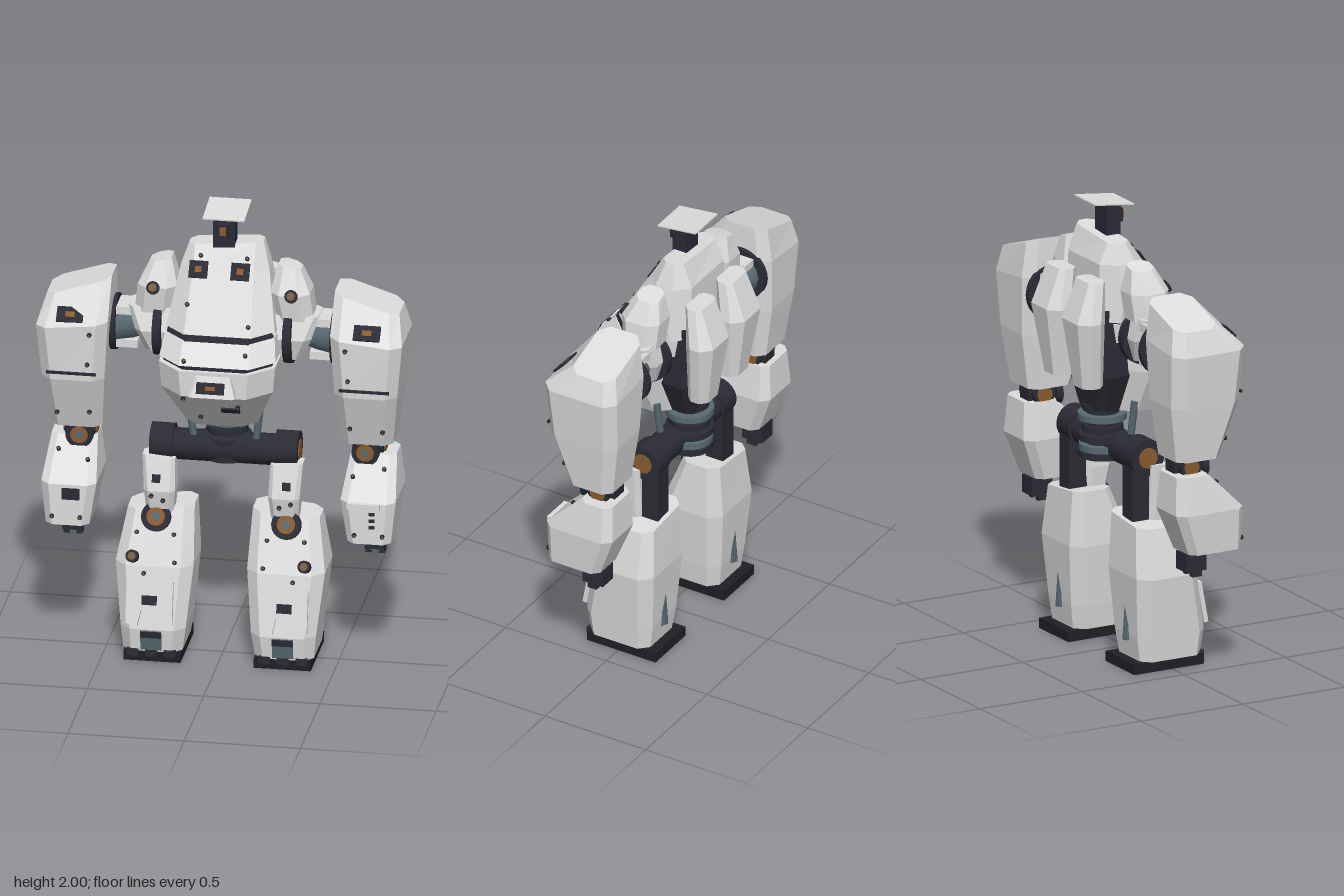
import * as THREE from 'three';

const mat = (name, color) => {
  const m = new THREE.MeshStandardMaterial({ color });
  m.name = name;
  return m;
};

export function createModel() {
  const white = mat('armour white', 0xdedede), dark = mat('joint navy', 0x2a2b35), black = mat('sole black', 0x1f1f25);
  const steel = mat('blue steel', 0x586a72), amber = mat('amber', 0x8a5c30);
  const root = new THREE.Group();
  root.name = 'robot';

  const add = (name, geo, m, x = 0, y = 0, z = 0, parent = root) => {
    const mesh = new THREE.Mesh(geo, m);
    mesh.name = name;
    mesh.position.set(x, y, z);
    parent.add(mesh);
    return mesh;
  };
  const box = (name, m, w, h, d, x, y, z, parent) => add(name, new THREE.BoxGeometry(w, h, d), m, x, y, z, parent);
  const drum = (name, m, axis, r0, r1, len, x, y, z, parent, n = 20) => {
    const g = new THREE.CylinderGeometry(r1, r0, len, n);
    if (axis === 'x') g.rotateZ(-Math.PI / 2);
    if (axis === 'z') g.rotateX(Math.PI / 2);
    return add(name, g, m, x, y, z, parent);
  };
  // Rod between two points
  const rod = (name, m, r, a, b) => {
    const p = new THREE.Vector3(...a), q = new THREE.Vector3(...b), d = q.clone().sub(p);
    const mesh = drum(name, m, 'y', r, r, d.length(), 0, 0, 0, root, 10);
    mesh.position.copy(p).add(q).multiplyScalar(0.5);
    mesh.quaternion.setFromUnitVectors(new THREE.Vector3(0, 1, 0), d.normalize());
    return mesh;
  };

  // Armour shell: chamfered rectangles from top to bottom, each [y, x0, x1, z0, z1, chamfer, slope]
  const mirror = (secs, s) => secs.map(([y, a, b, z0, z1, c, k = 0]) => (s > 0 ? [y, a, b, z0, z1, c, k] : [y, -b, -a, z0, z1, c, -k]));
  const shell = (name, secs, m = white) => {
    const rings = secs.map(([y, a, b, e, f, c, k = 0]) =>
      [[b, e + c], [b, f - c], [b - c, f], [a + c, f], [a, f - c], [a, e + c], [a + c, e], [b - c, e]]
        .map(([x, z]) => [x, y + k * (x - (a + b) / 2), z]));
    const pos = [];
    const tri = (...ps) => ps.forEach((p) => pos.push(...p));
    for (let r = 0; r + 1 < rings.length; r++) {
      const hi = rings[r], lo = rings[r + 1];
      for (let i = 0; i < 8; i++) {
        const j = (i + 1) % 8;
        tri(lo[i], hi[i], lo[j]);
        tri(hi[i], hi[j], lo[j]);
      }
    }
    const top = rings[0], bot = rings[rings.length - 1];
    for (let i = 1; i < 7; i++) {
      tri(top[0], top[i + 1], top[i]);
      tri(bot[0], bot[i], bot[i + 1]);
    }
    const g = new THREE.BufferGeometry();
    g.setAttribute('position', new THREE.Float32BufferAttribute(pos, 3));
    g.computeVertexNormals();
    return add(name, g, m);
  };

  // Group lying on a shell's front face at (x, y)
  const onFront = (name, secs, x, y) => {
    const ys = secs.map(([h, a, b, , , , k = 0]) => h + k * (x - (a + b) / 2));
    let i = 0;
    while (i < secs.length - 2 && y < ys[i + 1]) i++;
    const slope = (secs[i + 1][4] - secs[i][4]) / (ys[i + 1] - ys[i]);
    const g = new THREE.Group();
    g.name = name;
    g.position.set(x, y, secs[i][4] + slope * (y - ys[i]));
    g.rotation.x = Math.atan(slope);
    root.add(g);
    return g;
  };
  const plate = (name, secs, x, y, w, h, core) => {
    const g = onFront(name, secs, x, y);
    box('plate', dark, w, h, 0.009, 0, 0, 0.004, g);
    if (core) box('lens', amber, w * 0.35, h * 0.35, 0.006, 0, 0, 0.008, g);
  };
  const bolts = (secs, pts) => pts.forEach(([x, y]) => {
    const g = onFront('bolt', secs, x, y);
    drum('boltHead', dark, 'z', 0.01, 0.01, 0.012, 0, 0, 0.004, g, 8);
    drum('boltCore', amber, 'z', 0.005, 0.005, 0.004, 0, 0, 0.011, g, 8);
  });
  const lamp = (name, secs, x, y, r, d) => {
    const g = onFront(name, secs, x, y);
    drum('lampHousing', dark, 'z', r, r, d, 0, 0, d / 2, g);
    drum('lampRing', amber, 'z', r * 0.62, r * 0.62, 0.006, 0, 0, d, g);
    drum('lampCentre', steel, 'z', r * 0.3, r * 0.3, 0.008, 0, 0, d + 0.002, g);
  };

  // Torso
  const chest = [[1.85, -0.16, 0.16, -0.16, -0.06, 0.03, 0.08], [1.75, -0.19, 0.19, -0.2, 0.005, 0.06], [1.5, -0.235, 0.235, -0.2, 0.16, 0.09]];
  const band = [[1.49, -0.235, 0.235, -0.18, 0.17, 0.09], [1.405, -0.25, 0.25, -0.16, 0.25, 0.1]];
  const belly = [[1.385, -0.25, 0.25, -0.11, 0.26, 0.1], [1.27, -0.24, 0.24, -0.11, 0.255, 0.1], [1.08, -0.155, 0.155, -0.09, 0.1, 0.06]];
  shell('chest', chest);
  shell('chestBand', band);
  shell('belly', belly);
  shell('upperSeam', [[1.51, -0.225, 0.225, -0.18, 0.165, 0.09], [1.48, -0.23, 0.23, -0.18, 0.175, 0.09]], dark);
  shell('lowerSeam', [[1.41, -0.235, 0.235, -0.16, 0.24, 0.1], [1.375, -0.235, 0.235, -0.11, 0.24, 0.1]], dark);
  shell('torsoCore', [[1.5, -0.17, 0.17, -0.2, 0, 0.03], [1.25, -0.17, 0.17, -0.2, 0, 0.03], [1.08, -0.1, 0.1, -0.18, 0, 0.03]], dark);
  plate('chestWindow', chest, -0.105, 1.75, 0.08, 0.075, true);
  plate('chestWindow', chest, 0.075, 1.75, 0.08, 0.075, true);
  const snout = [[1.37, -0.075, 0.075, 0.2, 0.285, 0.01], [1.29, -0.1, 0.1, 0.2, 0.315, 0.01]];
  shell('snout', snout);
  plate('snoutSensor', snout, -0.005, 1.33, 0.12, 0.05, true);
  plate('bellyVent', belly, 0.065, 1.195, 0.08, 0.03);
  bolts(chest, [[-0.1, 1.8], [0.1, 1.8], [-0.14, 1.62], [0.13, 1.55]]);
  bolts(band, [[-0.13, 1.42], [0.13, 1.45]]);
  bolts(belly, [[-0.13, 1.26], [0.1, 1.22], [-0.07, 1.14]]);

  // Head
  box('head', dark, 0.095, 0.16, 0.07, -0.005, 1.905, -0.085);
  box('eyeHousing', dark, 0.05, 0.06, 0.03, -0.005, 1.92, -0.04);
  box('eye', amber, 0.026, 0.035, 0.012, -0.005, 1.92, -0.02);
  box('headVisor', white, 0.18, 0.006, 0.19, 0, 1.99, -0.1).rotation.x = 0.12;

  // Waist and hip axle
  drum('waistNeck', dark, 'y', 0.07, 0.07, 0.26, 0, 1.0, -0.11);
  [[1.08, 0.085, dark], [1.04, 0.105, steel], [0.99, 0.09, dark], [0.95, 0.105, dark], [0.905, 0.1, steel], [0.875, 0.105, dark]]
    .forEach(([y, r, m]) => drum('waistRing', m, 'y', r, r, 0.028, 0, y, -0.11));
  drum('hipAxle', dark, 'x', 0.068, 0.068, 0.48, 0, 0.915, -0.07);

  for (const s of [1, -1]) {
    const side = s > 0 ? 'left' : 'right';
    const name = (part) => side + part;
    const on = (secs) => mirror(secs, s);

    // Back thruster pods
    shell(name('BackPod'), on([[1.69, 0.05, 0.2, -0.28, -0.2, 0.02], [1.52, 0.02, 0.24, -0.345, -0.21, 0.045], [1.22, 0.055, 0.19, -0.3, -0.2, 0.03]]));
    box(name('PodMount'), dark, 0.1, 0.2, 0.06, s * 0.12, 1.45, -0.2);
    box(name('PodNozzle'), steel, 0.07, 0.008, 0.04, s * 0.122, 1.217, -0.25);

    // Shoulder
    const yoke = on([[1.765, 0.23, 0.325, -0.14, -0.03, 0.025, -0.25], [1.66, 0.2, 0.37, -0.16, 0.025, 0.04], [1.54, 0.22, 0.385, -0.15, 0.01, 0.04]]);
    shell(name('ShoulderBlock'), yoke);
    lamp(name('ShoulderLamp'), yoke, s * 0.297, 1.66, 0.028, 0.015);
    drum(name('ShoulderInnerDisc'), dark, 'x', 0.125, 0.125, 0.035, s * 0.28, 1.455, -0.06, root, 24);
    drum(name('ShoulderOuterDisc'), dark, 'x', 0.122, 0.122, 0.025, s * 0.475, 1.455, -0.08, root, 24);
    shell(name('ShoulderArm'), on([[1.56, 0.2, 0.41, -0.14, 0.0, 0.02], [1.46, 0.2, 0.38, -0.16, 0.03, 0.03], [1.36, 0.2, 0.34, -0.13, 0.0, 0.03]]));
    const cone = drum(name('ShoulderCone'), steel, 'x', s > 0 ? 0.05 : 0.095, s > 0 ? 0.095 : 0.05, 0.13, s * 0.41, 1.455, -0.08, root, 12);
    cone.scale.set(1, 1, 1);
    for (const y of [1.53, 1.38]) box(name('ShoulderBrace'), white, 0.1, 0.035, 0.13, s * 0.42, y, -0.08);

    // Upper arm
    const arm = on([[1.645, 0.48, 0.757, -0.18, 0.03, 0.04, -0.32], [1.51, 0.478, 0.787, -0.2, 0.155, 0.045, -0.1],
      [1.26, 0.495, 0.765, -0.19, 0.14, 0.045], [1.015, 0.515, 0.735, -0.155, 0.055, 0.035]]);
    shell(name('UpperArm'), arm);
    plate(name('ArmWindow'), arm, s * 0.638, 1.55, 0.115, 0.07, true);
    plate(name('ArmStripe'), arm, s * 0.63, 1.295, 0.215, 0.011);
    bolts(arm, [[s * 0.55, 1.48], [s * 0.56, 1.34], [s * 0.56, 1.1], [s * 0.7, 1.09]]);

    // Elbow
    box(name('ElbowBlock'), dark, 0.075, 0.16, 0.13, s * 0.615, 0.995, -0.07);
    drum(name('ElbowAxle'), dark, 'x', 0.05, 0.05, 0.13, s * 0.62, 0.975, -0.07);
    drum(name('ElbowCap'), amber, 'x', 0.035, 0.035, 0.145, s * 0.62, 0.975, -0.07);
    drum(name('ElbowDisc'), dark, 'z', 0.06, 0.06, 0.03, s * 0.615, 0.965, 0.01);
    drum(name('ElbowRing'), amber, 'z', 0.038, 0.038, 0.01, s * 0.615, 0.965, 0.025);
    drum(name('ElbowHub'), steel, 'z', 0.018, 0.018, 0.014, s * 0.615, 0.965, 0.026);

    // Forearm
    const fore = on([[0.95, 0.545, 0.742, -0.16, -0.01, 0.03], [0.785, 0.525, 0.762, -0.17, 0.155, 0.035], [0.6, 0.555, 0.742, -0.1, 0.155, 0.03]]);
    shell(name('Forearm'), fore);
    if (s < 0) plate(name('ForearmVent'), fore, -0.63, 0.745, 0.075, 0.05);
    else {
      box(name('ForearmGuard'), white, 0.14, 0.025, 0.02, 0.63, 0.775, 0.162);
      for (const y of [0.74, 0.71, 0.68]) plate(name('ForearmSlot'), fore, 0.665, y, 0.025, 0.012);
    }
    bolts(fore, [[s * 0.57, 0.87], [s * 0.7, 0.9], [s * 0.59, 0.64], [s * 0.71, 0.64]]);

    // Hand
    box(name('Hand'), dark, 0.085, 0.08, 0.1, s * 0.65, 0.555, -0.05);
    for (const dx of [-0.028, 0.028]) box(name('Finger'), dark, 0.025, 0.04, 0.045, s * 0.65 + dx, 0.51, -0.045);
    box(name('Palm'), steel, 0.04, 0.02, 0.045, s * 0.65, 0.51, -0.045);

    // Hip and thigh
    drum(name('HipDrum'), dark, 'x', 0.08, 0.08, 0.1, s * 0.268, 0.922, -0.07, root, 24);
    drum(name('HipCap'), amber, 'x', 0.045, 0.045, 0.11, s * 0.268, 0.922, -0.07);
    rod(name('WaistPiston'), steel, 0.016, [s * 0.13, 0.93, -0.05], [s * 0.155, 1.13, -0.04]);
    box(name('ThighStrut'), dark, 0.085, 0.36, 0.1, s * 0.265, 0.73, -0.09);
    const thigh = on([[0.885, 0.205, 0.345, -0.06, 0.025, 0.015, 0.1], [0.74, 0.2, 0.335, -0.06, 0.06, 0.02], [0.58, 0.215, 0.32, -0.06, 0.03, 0.02]]);
    shell(name('Thigh'), thigh);
    plate(name('ThighVent'), thigh, s * 0.28, 0.795, 0.035, 0.035);
    bolts(thigh, [[s * 0.25, 0.7], [s * 0.3, 0.72]]);

    // Shin
    const shin = on([[0.65, 0.125, 0.412, -0.16, 0.02, 0.04, -0.1], [0.42, 0.115, 0.45, -0.175, 0.12, 0.05],
      [0.15, 0.14, 0.42, -0.155, 0.17, 0.045], [0.045, 0.155, 0.41, -0.14, 0.155, 0.04]]);
    shell(name('Shin'), shin);
    lamp(name('Knee'), shin, s * 0.28, 0.615, 0.064, 0.025);
    lamp(name('ShinLamp'), shin, s * 0.37, 0.455, 0.027, 0.04);
    bolts(shin, [[s * 0.2, 0.55], [s * 0.36, 0.55], [s * 0.32, 0.39], [s * 0.19, 0.44]]);

    // Notched shin guard
    const guard = onFront(name('ShinGuard'), shin, s * 0.29, 0.26);
    const outline = new THREE.Shape([[-0.1, 0.1], [-0.1, -0.085], [-0.05, -0.095], [-0.035, -0.025], [0.035, -0.025], [0.05, -0.095], [0.1, -0.085], [0.1, 0.1]]
      .map(([x, y]) => new THREE.Vector2(x, y)));
    add('guardPlate', new THREE.ExtrudeGeometry(outline, { depth: 0.02, bevelEnabled: false }), white, 0, 0, 0, guard);
    box('guardVent', dark, 0.065, 0.04, 0.008, 0, 0.02, 0.022, guard);
    const ankle = onFront(name('AnklePanel'), shin, s * 0.283, 0.1);
    box('anklePlate', steel, 0.09, 0.09, 0.008, 0, 0, 0.004, ankle);
    box('ankleVent', dark, 0.09, 0.03, 0.008, 0, 0.03, 0.007, ankle);

    // Calf slit and foot
    const slit = drum(name('CalfSlit'), steel, 'y', 0.028, 0.008, 0.18, s * 0.283, 0.215, -0.158, root, 4);
    slit.scale.z = 0.6;
    box(name('Foot'), black, 0.245, 0.045, 0.34, s * 0.28, 0.0225, -0.015);
    for (const dx of [-0.08, 0, 0.08]) box(name('ToeClip'), dark, 0.05, 0.03, 0.02, s * 0.283 + dx, 0.04, 0.155);
  }
  return root;
}
